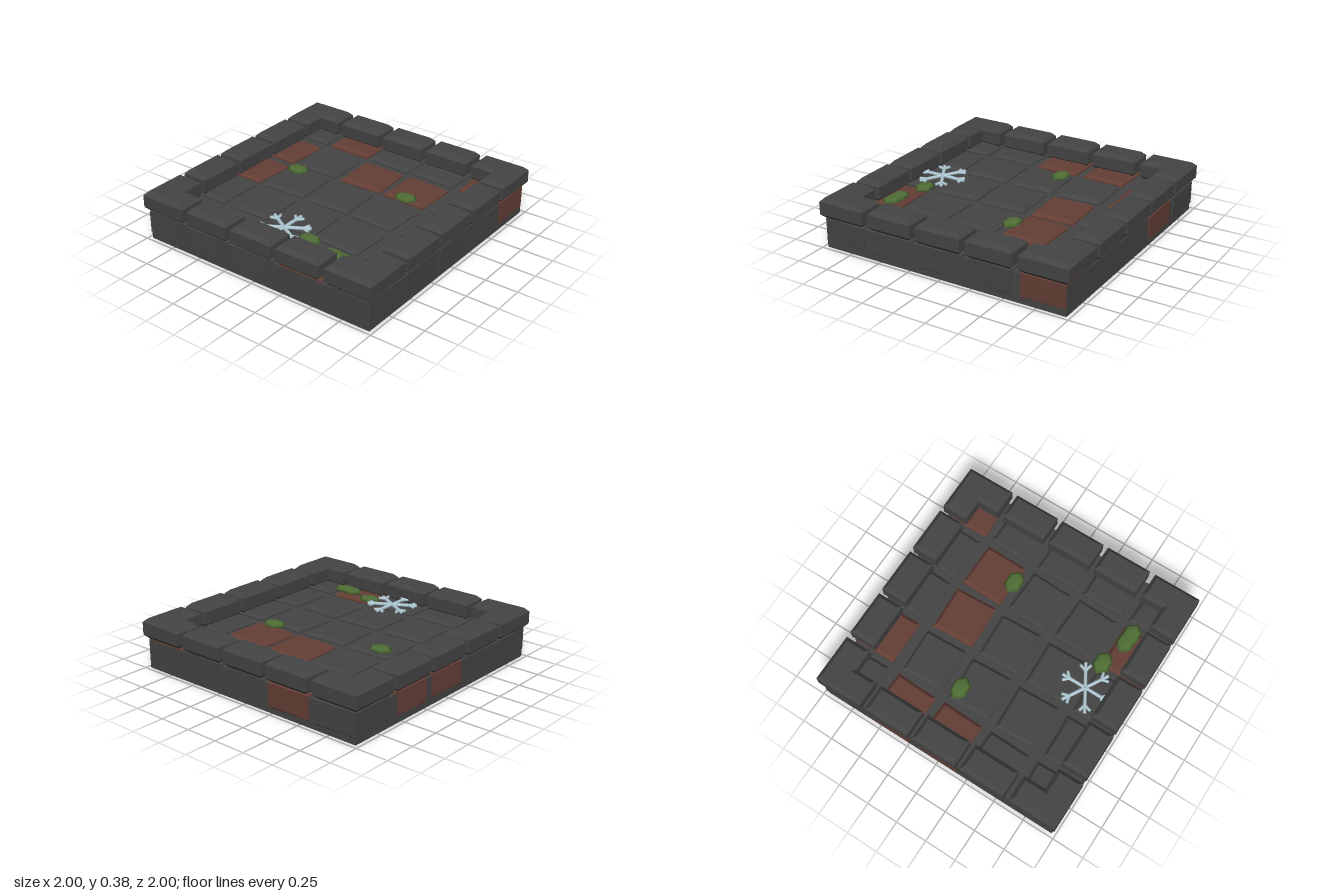
import * as THREE from 'three';

const stone = new THREE.MeshStandardMaterial({ color: 0x444444 });
stone.name = 'darkStone';
const brick = new THREE.MeshStandardMaterial({ color: 0x643e35 });
brick.name = 'redBrick';
const green = new THREE.MeshStandardMaterial({ color: 0x4f6e35 });
green.name = 'mossGreen';
const ice = new THREE.MeshStandardMaterial({ color: 0xb4ced8 });
ice.name = 'paleIce';

const GRID = [-0.8, -0.4, 0, 0.4, 0.8];

function addMesh(parent, name, geometry, material, x = 0, y = 0, z = 0) {
  const mesh = new THREE.Mesh(geometry, material);
  mesh.name = name;
  mesh.position.set(x, y, z);
  parent.add(mesh);
  return mesh;
}

// Upright prism with chamfered rims; points are the full outline in (x, -z), already inset by the bevel
function chamfered(points, height, bevel) {
  const shape = new THREE.Shape(points.map(([x, y]) => new THREE.Vector2(x, y)));
  const geometry = new THREE.ExtrudeGeometry(shape, {
    depth: height - 2 * bevel, bevelEnabled: true, bevelSegments: 1, bevelSize: bevel, bevelThickness: bevel,
  });
  geometry.translate(0, 0, bevel);
  geometry.rotateX(-Math.PI / 2);
  return geometry;
}

function chamferedBox(w, d, height, bevel) {
  const a = w / 2 - bevel, b = d / 2 - bevel;
  return chamfered([[-a, -b], [a, -b], [a, b], [-a, b]], height, bevel);
}

// Floor tiles, back row first; r marks a red brick, angles in degrees
function buildTiles(parent) {
  const colours = ['drddr', 'rdrrd', 'rdddd', 'ddddd', 'dddrd'];
  const angles = [
    [1, 0.5, -2, -2, 1],
    [-2, 2.5, 2.5, -1, -1.5],
    [-1.5, 3, 2.5, -2, 1.5],
    [-1, 2.5, 2, -2, 1],
    [1.5, 2, 1.5, 1, -1],
  ];
  const geometry = chamferedBox(0.35, 0.335, 0.22, 0.025);
  GRID.forEach((z, row) => GRID.forEach((x, col) => {
    const red = colours[row][col] === 'r';
    const tile = addMesh(parent, 'floorTile', geometry, red ? brick : stone, x, 0.03, z);
    tile.rotation.y = THREE.MathUtils.degToRad(angles[row][col]);
    // Outer tiles stand slightly proud of the slab
    if (Math.abs(x) > 0.7) tile.position.x = Math.sign(x) * 0.801;
    if (row === 0 && (col === 0 || col === 1)) tile.position.z = -0.813;
    if (row === 4 && col < 3) tile.position.z = 0.806;
  }));
}

// Raised border: three blocks per side and an L-shaped block at each corner
function buildBorder(parent) {
  const block = chamferedBox(0.36, 0.205, 0.155, 0.03);
  const b = 0.03, outer = 1 - b, end = 0.625 + b, inner = 0.797 + b;
  const corner = chamfered([
    [outer, outer], [end, outer], [end, inner], [inner, inner], [inner, end], [outer, end],
  ], 0.155, b);
  for (let side = 0; side < 4; side++) {
    const edge = new THREE.Group();
    edge.name = 'borderSide';
    edge.rotation.y = side * Math.PI / 2;
    for (const x of [-0.4, 0, 0.4]) addMesh(edge, 'borderBlock', block, stone, x, 0.23, 0.8975);
    addMesh(edge, 'cornerBlock', corner, stone, 0, 0.23, 0);
    parent.add(edge);
  }
}

// Flat lumps of moss
function buildMoss(parent) {
  const geometry = new THREE.SphereGeometry(1, 6, 4);
  const spots = [[-0.485, -0.115], [0.42, -0.235], [0.23, 0.645], [0.465, 0.705], [0.53, 0.71]];
  for (const [x, z] of spots) {
    addMesh(parent, 'mossClump', geometry, green, x, 0.265, z).scale.set(0.096, 0.022, 0.07);
  }
}

// Frosty rod with a rippled edge, lying along +x from the origin
function frostRod(length, radius) {
  const steps = Math.round(length / 0.008);
  const profile = [new THREE.Vector2(0, 0)];
  for (let i = 0; i <= steps; i++) {
    profile.push(new THREE.Vector2(radius * (i % 2 ? 1.15 : 0.85), length * i / steps));
  }
  profile.push(new THREE.Vector2(0, length));
  const geometry = new THREE.LatheGeometry(profile, 6);
  geometry.rotateZ(-Math.PI / 2);
  return geometry;
}

// Six-armed ice crystal with forked tips
function buildCrystal(parent) {
  const crystal = new THREE.Group();
  crystal.name = 'iceCrystal';
  crystal.position.set(0, 0.275, 0.638);
  const rod = frostRod(0.192, 0.013), twig = frostRod(0.058, 0.011);
  for (let i = 0; i < 6; i++) {
    const arm = new THREE.Group();
    arm.name = 'crystalArm';
    arm.rotation.y = Math.PI / 6 + i * Math.PI / 3;
    addMesh(arm, 'armRod', rod, ice);
    for (const s of [-1, 1]) {
      addMesh(arm, 'armTwig', twig, ice, 0.13, 0, 0).rotation.y = s * 0.75;
    }
    crystal.add(arm);
  }
  parent.add(crystal);
}

export function createModel() {
  const model = new THREE.Group();
  model.name = 'stoneFloorTrap';
  addMesh(model, 'baseSlab', new THREE.BoxGeometry(1.942, 0.215, 1.942), stone, 0, 0.1075, 0);
  buildTiles(model);
  buildBorder(model);
  buildMoss(model);
  buildCrystal(model);
  return model;
}
